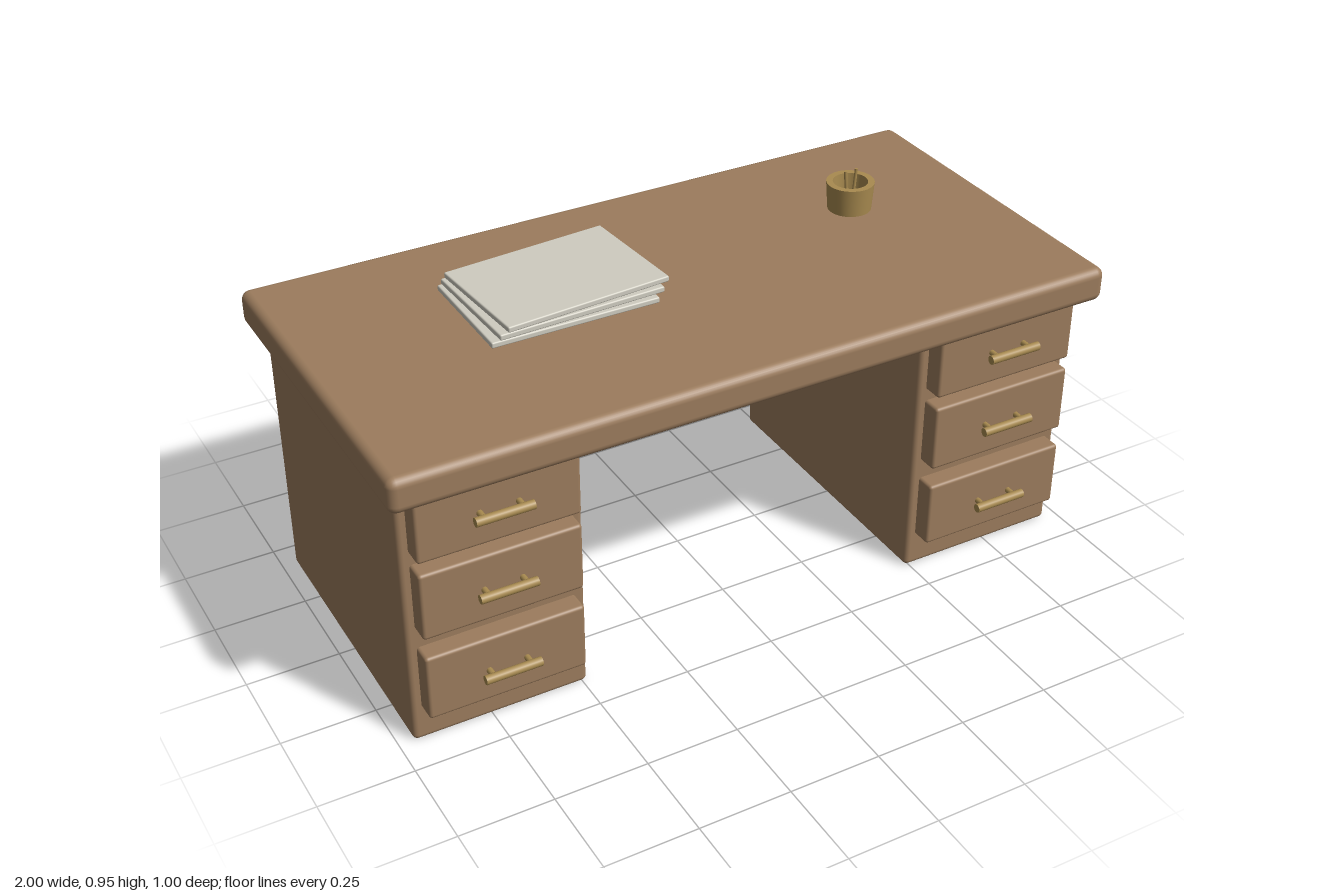
import * as THREE from 'three';
import { RoundedBoxGeometry } from 'three/addons/geometries/RoundedBoxGeometry.js';

function material(name, color, side = THREE.FrontSide) {
  const m = new THREE.MeshStandardMaterial({ color, side });
  m.name = name;
  return m;
}

export function createModel() {
  const wood = material('wood', 0x9c7c5d);
  const brass = material('brass', 0xa98b50);
  const paper = material('paper', 0xcfccc0);
  const desk = new THREE.Group();
  desk.name = 'desk';

  function add(parent, name, geometry, mat, x = 0, y = 0, z = 0) {
    const mesh = new THREE.Mesh(geometry, mat);
    mesh.name = name;
    mesh.position.set(x, y, z);
    parent.add(mesh);
    return mesh;
  }

  // Rounded block given by its limits on each axis
  function block(parent, name, [x0, x1], [y0, y1], [z0, z1], radius, mat = wood) {
    const g = new RoundedBoxGeometry(x1 - x0, y1 - y0, z1 - z0, 3, radius);
    return add(parent, name, g, mat, (x0 + x1) / 2, (y0 + y1) / 2, (z0 + z1) / 2);
  }

  // Worktop and rear modesty panel
  block(desk, 'worktop', [-1, 1], [0.737, 0.833], [-0.5, 0.49], 0.024);
  block(desk, 'backPanel', [-0.51, 0.51], [0.315, 0.713], [-0.37, -0.33], 0.012);

  // Bar handle on two posts
  function handle(x, y) {
    const group = new THREE.Group();
    group.name = 'handle';
    group.position.set(x, y, 0);
    add(group, 'handleBar', new THREE.CylinderGeometry(0.012, 0.012, 0.15, 16), brass, 0, 0, 0.488)
      .rotation.z = Math.PI / 2;
    for (const s of [-1, 1]) {
      add(group, 'handlePost', new THREE.CylinderGeometry(0.008, 0.008, 0.032, 12), brass, s * 0.05, 0, 0.472)
        .rotation.x = Math.PI / 2;
    }
    return group;
  }

  // Pedestals with three drawers each
  const drawers = [[0.563, 0.742, 0.657], [0.341, 0.53, 0.435], [0.099, 0.285, 0.19]];
  for (const side of [-1, 1]) {
    const pedestal = new THREE.Group();
    pedestal.name = side > 0 ? 'leftPedestal' : 'rightPedestal';
    const cx = side * 0.724;
    block(pedestal, 'cabinet', [cx - 0.237, cx + 0.237], [0, 0.755], [-0.432, 0.404], 0.014);
    for (const [y0, y1, hy] of drawers) {
      block(pedestal, 'drawer', [cx - 0.211, cx + 0.211], [y0, y1], [0.38, 0.457], 0.009);
      pedestal.add(handle(cx, hy));
    }
    desk.add(pedestal);
  }

  // Fanned stack of papers
  const stack = new THREE.Group();
  stack.name = 'paperStack';
  [[-0.335, 0.85, 0], [-0.322, 0.871, 0.04], [-0.31, 0.892, 0.078]].forEach(([x, y, turn]) => {
    add(stack, 'paperSheaf', new RoundedBoxGeometry(0.462, 0.016, 0.33, 2, 0.004), paper, x, y, -0.068)
      .rotation.y = turn;
  });
  desk.add(stack);

  // Hollow pen cup; repeated profile points keep the rim edges crisp
  const cup = new THREE.Group();
  cup.name = 'penCup';
  cup.position.set(0.607, 0.833, -0.125);
  const walls = [
    [[0, 0], [0.06, 0]],
    [[0.06, 0], [0.066, 0.079]],
    [[0.066, 0.079], [0.048, 0.079]],
    [[0.048, 0.079], [0.045, 0.015]],
    [[0.045, 0.015], [0, 0.015]],
  ];
  const wallNames = ['cupBase', 'cupOuterWall', 'cupRim', 'cupInnerWall', 'cupFloor'];
  walls.forEach((pts, i) => {
    const g = new THREE.LatheGeometry(pts.map(([r, y]) => new THREE.Vector2(r, y)), 32);
    add(cup, wallNames[i], g, brass);
  });

  // Two slim pens, leaning slightly outward
  for (const s of [-1, 1]) {
    add(cup, 'pen', new THREE.CylinderGeometry(0.0045, 0.0045, 0.1, 10), brass, s * 0.013, 0.062, 0)
      .rotation.z = -s * 0.09;
  }
  desk.add(cup);

  return desk;
}
